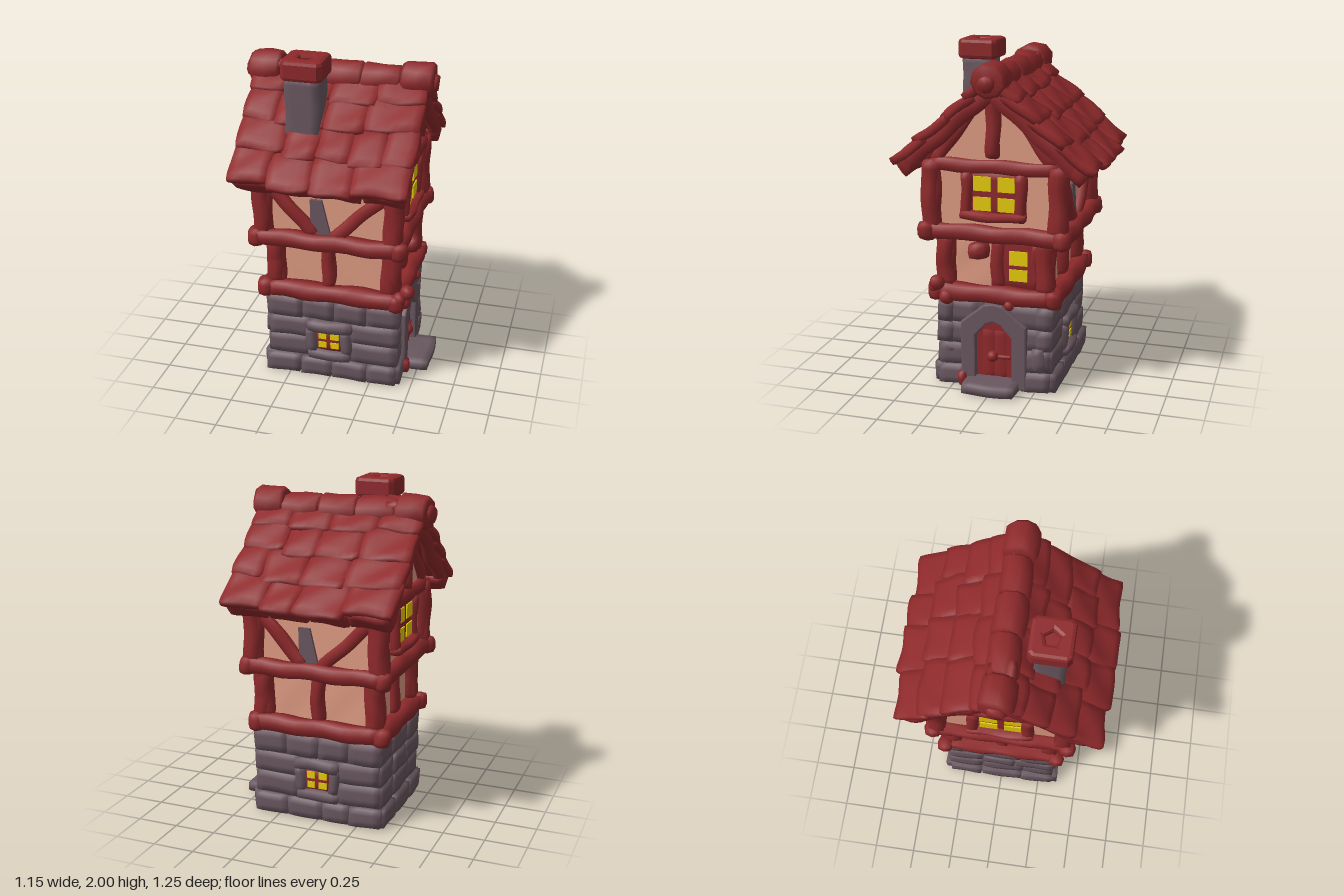
import * as THREE from 'three';
import { mergeVertices } from 'three/addons/utils/BufferGeometryUtils.js';

const paint = (name, color) => Object.assign(new THREE.MeshStandardMaterial({ color }), { name });
const wood = paint('red wood', 0x8e292b);
const stone = paint('grey stone', 0x69575f);
const plaster = paint('plaster', 0xde9b82);
const glass = paint('yellow glass', 0xefd30c);

let seed = 7;
const rand = (a = 0, b = 1) => {
  seed = (seed * 16807) % 2147483647;
  return a + (b - a) * (seed / 2147483647);
};

// Bends a geometry by smooth waves and gives it soft normals
function wobble(geo, amount) {
  const p = geo.attributes.position, s = rand(0, 50);
  for (let i = 0; i < p.count; i++) {
    const x = p.getX(i), y = p.getY(i), z = p.getZ(i);
    p.setXYZ(i,
      x + amount * Math.sin(y * 23 + z * 17 + s),
      y + amount * Math.sin(x * 19 + z * 21 + s * 2),
      z + amount * Math.sin(x * 22 + y * 18 + s * 3));
  }
  geo.deleteAttribute('uv');
  geo.deleteAttribute('normal');
  const out = mergeVertices(geo, 1e-4);
  out.computeVertexNormals();
  return out;
}

// Chunky block with worn edges
function chunk(w, h, d, r = 0.02, amount = 0.005) {
  const n = s => Math.max(2, Math.min(14, Math.round(s / 0.045)));
  const geo = new THREE.BoxGeometry(w, h, d, n(w), n(h), n(d));
  const p = geo.attributes.position, v = new THREE.Vector3();
  r = Math.min(r, w / 2.2, h / 2.2, d / 2.2);
  const lim = new THREE.Vector3(w / 2 - r, h / 2 - r, d / 2 - r), neg = lim.clone().negate();
  for (let i = 0; i < p.count; i++) {
    v.fromBufferAttribute(p, i);
    const inner = v.clone().clamp(neg, lim);
    v.sub(inner).setLength(r).add(inner);
    p.setXYZ(i, v.x, v.y, v.z);
  }
  return wobble(geo, amount);
}

function add(parent, name, geo, mat, x = 0, y = 0, z = 0) {
  const m = new THREE.Mesh(geo, mat);
  m.name = name;
  m.position.set(x, y, z);
  parent.add(m);
  return m;
}

// Block given by its extents
const block = (parent, name, mat, x0, x1, y0, y1, z0, z1, r, amount) =>
  add(parent, name, chunk(x1 - x0, y1 - y0, z1 - z0, r, amount), mat, (x0 + x1) / 2, (y0 + y1) / 2, (z0 + z1) / 2);

// Slanted timber between two points on a wall
function brace(parent, x0, y0, x1, y1, w, z0, z1) {
  const m = add(parent, 'brace', chunk(Math.hypot(x1 - x0, y1 - y0), w, z1 - z0, 0.012, 0.004), wood,
    (x0 + x1) / 2, (y0 + y1) / 2, (z0 + z1) / 2);
  m.rotation.z = Math.atan2(y1 - y0, x1 - x0);
}

// Thin yellow panes in a grid
function panes(parent, xs, ys, z) {
  for (const [x0, x1] of xs) for (const [y0, y1] of ys)
    add(parent, 'windowPane', new THREE.BoxGeometry(x1 - x0, y1 - y0, 0.008), glass, (x0 + x1) / 2, (y0 + y1) / 2, z);
}

// Courses of stones filling the given spans of each row
const courses = [0.006, 0.125, 0.26, 0.39, 0.53];
function masonry(parent, out, rows) {
  rows.forEach((spans, i) => spans.forEach(([a, b]) => {
    const n = Math.max(1, Math.round((b - a) / 0.2));
    const cuts = Array.from({ length: n + 1 }, (_, k) => a + (b - a) * k / n + (k > 0 && k < n ? rand(-0.04, 0.04) : 0));
    for (let k = 0; k < n; k++)
      block(parent, 'wallStone', stone, cuts[k], cuts[k + 1], courses[i], courses[i + 1], out - 0.1,
        out + (i ? rand(-0.008, 0.008) : 0.022), 0.009, 0.003);
  }));
}

const polygon = pts => new THREE.Shape(pts.map(([x, y]) => new THREE.Vector2(x, y)));
const extrude = (shape, depth, bevel = 0) => new THREE.ExtrudeGeometry(shape, {
  depth, bevelEnabled: bevel > 0, bevelSize: bevel, bevelThickness: bevel, bevelSegments: 2 });

// Timbers of both upper floors; halves are [negative side, positive side]
function timbers(f, lowHalves, lowOut, topHalf, topOut) {
  block(f, 'lowerBeam', wood, -lowHalves[0], lowHalves[1], 0.53, 0.63, lowOut - 0.06, lowOut + 0.04, 0.025);
  block(f, 'middleBeam', wood, -topHalf, topHalf, 0.9, 0.995, topOut - 0.07, topOut + 0.02, 0.025);
  [-1, 1].forEach((s, i) => {
    const low = s * (lowHalves[i] - 0.05), top = s * (topHalf - 0.05);
    block(f, 'lowerPost', wood, low - 0.05, low + 0.05, 0.6, 0.93, lowOut - 0.1, lowOut, 0.015);
    block(f, 'upperPost', wood, top - 0.05, top + 0.05, 0.95, 1.36, topOut - 0.1, topOut, 0.015);
  });
}

// Front and back wall; dir tells on which side the door wall lies
const longWall = dir => f => {
  const ends = (neg, pos) => (dir > 0 ? [neg, pos] : [pos, neg]);
  const row = (neg, pos) => { const [a, b] = ends(neg, pos); return [[-a, b]]; };
  const gap = (neg, pos) => { const [a, b] = ends(neg, pos); return [[-a, -0.12], [0.12, b]]; };
  masonry(f, 0.352, [row(0.4, 0.41), gap(0.39, 0.41), gap(0.38, 0.42), row(0.39, 0.42)]);
  block(f, 'windowLintel', stone, -0.145, 0.14, 0.315, 0.39, 0.29, 0.385, 0.02);
  block(f, 'windowSill', stone, -0.14, 0.13, 0.125, 0.19, 0.29, 0.385, 0.02);
  for (const x of [-0.115, 0.1]) block(f, 'windowJamb', stone, x - 0.035, x + 0.035, 0.17, 0.34, 0.29, 0.375);
  block(f, 'windowFrame', wood, -0.09, 0.075, 0.18, 0.325, 0.29, 0.35, 0.006, 0.001);
  panes(f, [[-0.07, -0.022], [0.003, 0.055]], [[0.203, 0.242], [0.263, 0.305]], 0.352);
  timbers(f, ends(0.39, 0.42), 0.35, 0.44, 0.43);
  block(f, 'middlePost', wood, -0.055, 0.025, 0.6, 0.93, 0.25, 0.345);
  block(f, 'topBeam', wood, -0.4, 0.4, 1.27, 1.35, 0.34, 0.42);
  brace(f, -0.34, 1.27, -0.08, 0.98, 0.075, 0.34, 0.41);
  brace(f, 0.34, 1.27, 0.02, 0.96, 0.075, 0.34, 0.41);
  add(f, 'greyStrut', extrude(polygon([[-0.1, 0.97], [0.02, 0.97], [-0.035, 1.2], [-0.105, 1.2]]), 0.045), stone, 0, 0, 0.34);
  block(f, 'strutHead', wood, -0.1, -0.035, 1.235, 1.29, 0.34, 0.4, 0.01);
};

// Gable walls with the big window
const gableWall = lowOut => f => {
  timbers(f, [0.35, 0.35], lowOut, 0.42, 0.43);
  block(f, 'gableBeam', wood, -0.37, 0.37, 1.3, 1.38, 0.36, 0.43);
  block(f, 'gablePost', wood, -0.042, 0.042, 1.39, 1.76, 0.37, 0.45, 0.025);
  for (const s of [-1, 1]) {
    brace(f, s * 0.06, 1.75, s * 0.35, 1.36, 0.07, 0.36, 0.42);
    block(f, 'windowSide', wood, s * 0.16 - 0.035, s * 0.16 + 0.035, 1.03, 1.31, 0.36, 0.435);
  }
  block(f, 'windowBack', wood, -0.16, 0.16, 1.06, 1.31, 0.36, 0.405, 0.01, 0.002);
  block(f, 'windowSillBoard', wood, -0.2, 0.2, 1.025, 1.08, 0.36, 0.45);
  panes(f, [[-0.12, -0.015], [0.025, 0.125]], [[1.085, 1.165], [1.2, 1.285]], 0.409);
};

// Left side: door, step, small window
function doorWall(f) {
  const s = [[-0.34, -0.17], [0.17, 0.34]];
  masonry(f, 0.41, [s, s, s, [[-0.345, -0.1], [0.1, 0.345]]]);
  const frame = polygon([[-0.19, 0.02], [0.19, 0.02], [0.19, 0.4], [0.05, 0.515], [0, 0.525], [-0.05, 0.515], [-0.19, 0.4]]);
  frame.holes.push(polygon([[-0.12, 0.05], [-0.12, 0.33], [-0.05, 0.41], [0, 0.43], [0.05, 0.41], [0.12, 0.33], [0.12, 0.05]]));
  add(f, 'doorSurround', extrude(frame, 0.085, 0.01), stone, 0, 0, 0.34);
  add(f, 'door', extrude(polygon([[-0.13, 0.04], [0.13, 0.04], [0.13, 0.34], [0, 0.44], [-0.13, 0.34]]), 0.04), wood, 0, 0, 0.358);
  for (const x of [-0.037, 0.037]) block(f, 'doorPlank', wood, x - 0.036, x + 0.036, 0.06, 0.36, 0.38, 0.404, 0.006, 0.001);
  add(f, 'doorKnob', new THREE.SphereGeometry(0.034, 14, 10), wood, -0.01, 0.2, 0.41);
  block(f, 'doorBar', wood, 0, 0.1, 0.185, 0.21, 0.39, 0.415, 0.008, 0.001);
  block(f, 'doorStep', stone, -0.16, 0.16, 0.006, 0.07, 0.36, 0.57, 0.012, 0.003);
  block(f, 'stoneBracket', stone, 0.23, 0.31, 0.14, 0.28, 0.38, 0.435);
  block(f, 'redPost', wood, -0.215, -0.16, 0.008, 0.1, 0.38, 0.457, 0.015);
  block(f, 'smallWindowFrame', wood, -0.03, 0.26, 0.62, 0.92, 0.33, 0.365, 0.01, 0.003);
  block(f, 'smallWindowPost', wood, -0.03, 0.05, 0.62, 0.92, 0.33, 0.39);
  block(f, 'smallWindowShutter', wood, 0.215, 0.26, 0.64, 0.9, 0.33, 0.385, 0.01);
  panes(f, [[0.08, 0.19]], [[0.665, 0.735], [0.76, 0.845]], 0.369);
  block(f, 'hook', wood, -0.14, -0.03, 0.8, 0.9, 0.36, 0.48, 0.03);
  for (const [x, y, z, r] of [[-0.33, 0.65, 0.46, 0.045], [-0.36, 0.61, 0.42, 0.04], [-0.28, 0.55, 0.435, 0.045], [0.1, 0.53, 0.43, 0.03]])
    add(f, 'woodKnot', wobble(new THREE.SphereGeometry(r, 10, 8), 0.004), wood, x, y, z);
}

// Right side: plain wall with a middle post
function plainWall(f) {
  masonry(f, 0.395, [[[-0.34, 0.34]], [[-0.345, 0.345]], [[-0.34, 0.34]], [[-0.345, 0.345]]]);
  block(f, 'middlePost', wood, -0.04, 0.04, 0.6, 0.93, 0.31, 0.38);
}

// One roof slope, local z running down from the ridge
function roofSlope(parent, turn) {
  const side = new THREE.Group(), slope = new THREE.Group();
  side.name = 'roofSide';
  side.rotation.y = turn;
  slope.name = 'roofSlope';
  slope.position.y = 1.82;
  slope.rotation.x = 0.72;
  parent.add(side.add(slope));
  block(slope, 'roofBoard', wood, -0.48, 0.48, -0.055, 0.015, 0, 0.73, 0.01, 0.003);
  for (const s of [-1, 1])
    block(slope, 'bargeBoard', wood, s * 0.46 - 0.035, s * 0.46 + 0.035, -0.075, 0.03, 0.03, 0.71, 0.02, 0.006);
  // Thick blocks along the eave
  for (let k = 0; k < 4; k++)
    block(slope, 'eaveBlock', wood, -0.495 + k * 0.2475, -0.2475 + k * 0.2475, -0.088, 0.03, 0.61, 0.745, 0.02, 0.006);
  for (let row = 0; row < 4; row++) {
    let x = -0.508;
    while (x < 0.507) {
      let w = rand(0.18, 0.29);
      if (0.508 - x - w < 0.13) w = 0.508 - x;
      const edge = x < -0.5 || x + w > 0.5 ? 0.02 : 0;
      const len = rand(0.23, 0.27), end = 0.19 * (row + 1) + rand(-0.01, 0.02) - edge;
      const tile = add(slope, 'roofTile', chunk(w + 0.01, 0.06, len, 0.018, 0.006), wood, x + w / 2, 0.022, end - len / 2);
      tile.rotation.set(-0.11, rand(-0.05, 0.05), rand(-0.03, 0.03));
      x += w;
    }
  }
}

export function createModel() {
  const house = new THREE.Group();
  house.name = 'house';

  // Cores of the three storeys
  block(house, 'stoneCore', stone, -0.385, 0.39, 0.004, 0.56, -0.338, 0.338, 0.005, 0);
  block(house, 'lowerWalls', plaster, -0.335, 0.348, 0.54, 0.95, -0.285, 0.285, 0.01, 0.002);
  const gable = polygon([[-0.368, 0.92], [0.368, 0.92], [0.368, 1.4], [0, 1.77], [-0.368, 1.4]]);
  add(house, 'upperWalls', extrude(gable, 0.77), plaster, -0.385).rotation.y = Math.PI / 2;

  // Rounded knobs where the beams cross at the corners
  for (const sx of [-1, 1]) for (const sz of [-1, 1]) {
    add(house, 'middleBeamEnd', chunk(0.105, 0.125, 0.105, 0.045, 0.004), wood, sx * 0.422, 0.942, sz * 0.402);
    add(house, 'lowerBeamEnd', chunk(0.1, 0.12, 0.1, 0.04, 0.004), wood, sx * 0.4, 0.58, sz * 0.352);
  }

  // Four walls, each built facing outward along local z
  const wall = (name, turn, ...builders) => {
    const f = new THREE.Group();
    f.name = name;
    f.rotation.y = turn;
    builders.forEach(b => b(f));
    house.add(f);
  };
  wall('frontWall', 0, longWall(1));
  wall('backWall', Math.PI, longWall(-1));
  wall('leftWall', Math.PI / 2, gableWall(0.405), doorWall);
  wall('rightWall', -Math.PI / 2, gableWall(0.385), plainWall);

  // Roof with ridge caps
  const roof = new THREE.Group();
  roof.name = 'roof';
  roof.position.x = -0.015;
  house.add(roof);
  roofSlope(roof, 0);
  roofSlope(roof, Math.PI);
  for (const [a, b, r, y] of [[-0.535, -0.345, 0.1, 1.84], [-0.35, -0.1, 0.092, 1.825], [-0.11, 0.13, 0.095, 1.82],
    [0.12, 0.36, 0.09, 1.82], [0.35, 0.54, 0.1, 1.84], [-0.56, -0.5, 0.055, 1.83], [0.5, 0.56, 0.05, 1.83]]) {
    const l = (b - a) / 2;
    const pts = [[0, -l], [r * 0.82, -l], [r, -l + 0.02], [r * 1.03, 0], [r, l - 0.02], [r * 0.82, l], [0, l]];
    const cap = new THREE.LatheGeometry(pts.map(([x, t]) => new THREE.Vector2(x, t)), 9);
    add(roof, 'ridgeCap', wobble(cap, 0.005), wood, (a + b) / 2, y, 0).rotation.z = Math.PI / 2;
  }

  // Chimney: shaft and a hollow cap
  block(house, 'chimneyShaft', stone, -0.257, -0.06, 1.5, 1.9, 0.158, 0.34, 0.008, 0.003);
  const rim = polygon([[-0.098, -0.085], [-0.085, -0.098], [0.085, -0.098], [0.098, -0.085],
    [0.098, 0.085], [0.085, 0.098], [-0.085, 0.098], [-0.098, 0.085]]);
  rim.holes.push(polygon([0, 1, 2, 3, 4].map(i => [0.072 * Math.cos(-i * 1.2566), 0.072 * Math.sin(-i * 1.2566)])));
  add(house, 'chimneyCap', extrude(rim, 0.076, 0.022), wood, -0.158, 1.902, 0.243).rotation.x = -Math.PI / 2;
  block(house, 'chimneyCapFloor', wood, -0.24, -0.08, 1.885, 1.955, 0.165, 0.325, 0.005, 0);
  return house;
}
